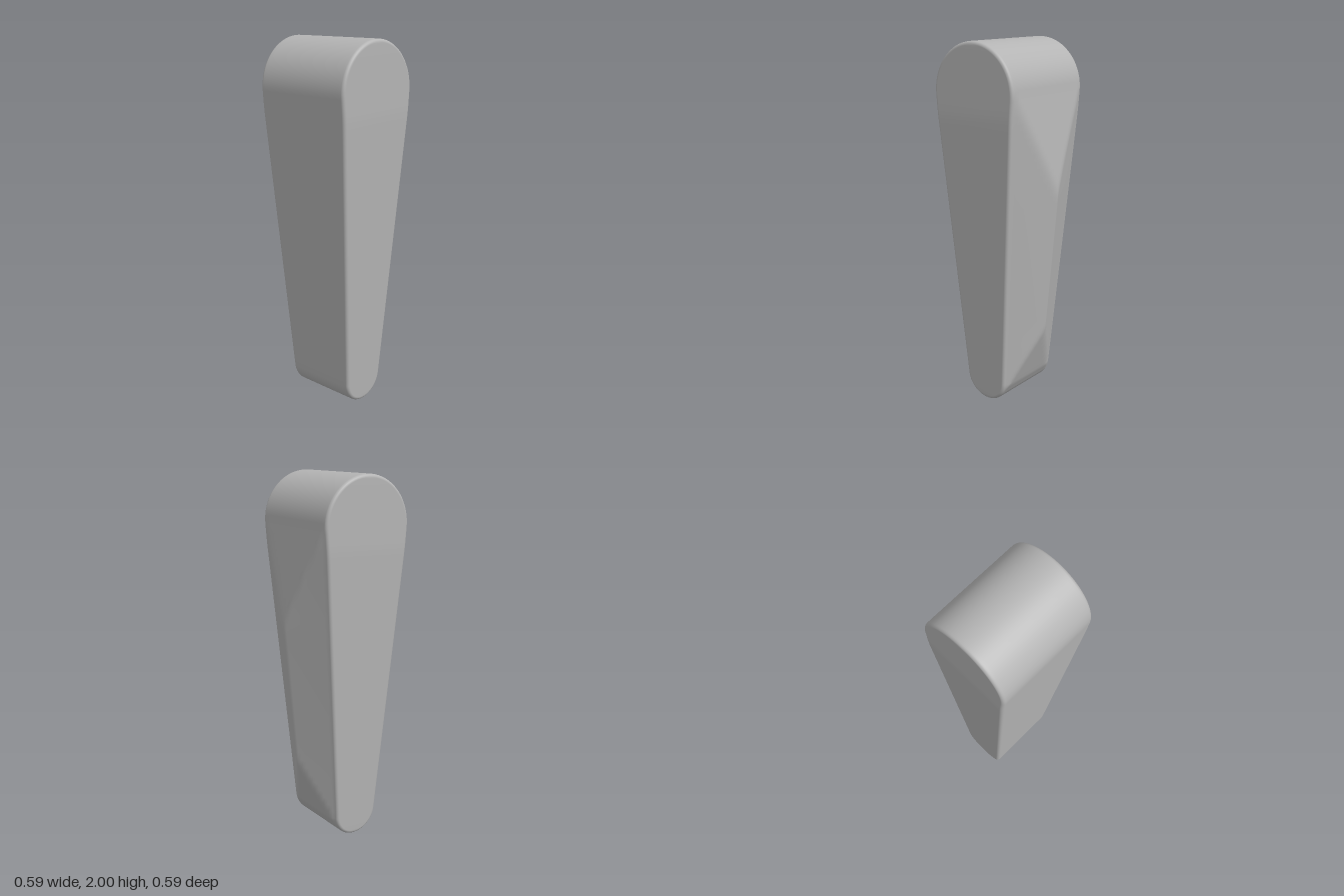
import * as THREE from 'three';

const CX = -0.035;               // axis of the tapered pill outline
const TOP = { y: 1.74, r: 0.26 };
const BOTTOM = { y: 0.133, r: 0.133 };
const BEVEL = 0.018;

// half depth: straight at the top, narrowing towards the foot
const halfDepth = (y) => 0.296 - 0.088 * Math.max(0, (1.62 - y) / 1.62);

// height of the keel ridge: rises quickly at the foot, fades out at the head
function ridge(y) {
  if (y < 0.42) return 0.098 * Math.max(0, (y - 0.08) / 0.34);
  if (y < 1.22) return slope(y);
  return 0.11 * Math.max(0, (1.74 - y) / 0.52);
}
const slope = (y) => 0.098 + 0.012 * Math.min(1, Math.max(0, (y - 0.42) / 0.8));

// right half of the outline, head to foot, with outward normals
function halfOutline() {
  const tilt = Math.asin((TOP.r - BOTTOM.r) / (TOP.y - BOTTOM.y));
  const points = [];
  const add = (c, angle) => {
    const nx = Math.cos(angle), ny = Math.sin(angle);
    points.push({ x: c.r * nx, y: c.y + c.r * ny, nx, ny });
  };
  for (let i = 0; i <= 18; i++) add(TOP, Math.PI / 2 - (i / 18) * (Math.PI / 2 + tilt));
  const a = points[points.length - 1];
  const b = { x: BOTTOM.r * a.nx, y: BOTTOM.y + BOTTOM.r * a.ny };
  for (let i = 1; i < 40; i++) {
    const t = i / 40;
    points.push({ x: a.x + (b.x - a.x) * t, y: a.y + (b.y - a.y) * t, nx: a.nx, ny: a.ny });
  }
  for (let i = 0; i <= 14; i++) add(BOTTOM, -tilt - (i / 14) * (Math.PI / 2 - tilt));
  return points;
}

function bodyGeometry() {
  const half = halfOutline();
  const H = half.length - 1, N = 2 * H;
  const outline = half.map((p) => ({ ...p, keel: true }));
  for (let i = H - 1; i > 0; i--) outline.push({ ...half[i], x: -half[i].x, nx: -half[i].nx, keel: false });

  // slices from back to front: bevel, body, bevel
  const slices = [];
  for (let i = 0; i < 5; i++) {
    const a = (i / 5) * Math.PI / 2;
    slices.push({ s: -1, inset: BEVEL * (1 - Math.sin(a)), back: BEVEL * (1 - Math.cos(a)) });
  }
  for (let i = 0; i <= 32; i++) slices.push({ s: -1 + i / 16, inset: 0, back: BEVEL });
  for (let i = 4; i >= 0; i--) slices.push({ ...slices[i], s: 1 });

  const position = [], index = [];
  for (const { s, inset, back } of slices) {
    for (const p of outline) {
      const y = p.y - p.ny * inset;
      const bulge = p.keel ? Math.min(slope(p.y) * (1 - Math.abs(s)), ridge(p.y)) : 0;
      position.push(CX + p.x - p.nx * inset + bulge, y, s * (halfDepth(y) - back));
    }
  }
  for (let j = 0; j < slices.length - 1; j++) {
    for (let i = 0; i < N; i++) {
      const k = (i + 1) % N;
      const a = j * N + i, b = j * N + k, c = b + N, d = a + N;
      index.push(a, c, b, a, d, c);
    }
  }
  // end faces as strips between the mirrored outline halves
  const front = (slices.length - 1) * N;
  for (let i = 0; i < H; i++) {
    const r0 = i, r1 = i + 1, l0 = (N - i) % N, l1 = N - i - 1;
    index.push(front + r0, front + l0, front + l1, front + r0, front + l1, front + r1);
    index.push(r0, l1, l0, r0, r1, l1);
  }
  const geometry = new THREE.BufferGeometry();
  geometry.setAttribute('position', new THREE.Float32BufferAttribute(position, 3));
  geometry.setIndex(index);
  geometry.computeVertexNormals();
  return geometry;
}

export function createModel() {
  const group = new THREE.Group();
  group.name = 'taperedBlade';
  const grey = new THREE.MeshStandardMaterial({ color: 0xb4b4b4 });
  grey.name = 'grey';
  const body = new THREE.Mesh(bodyGeometry(), grey);
  body.name = 'keeledBody';
  group.add(body);
  return group;
}
